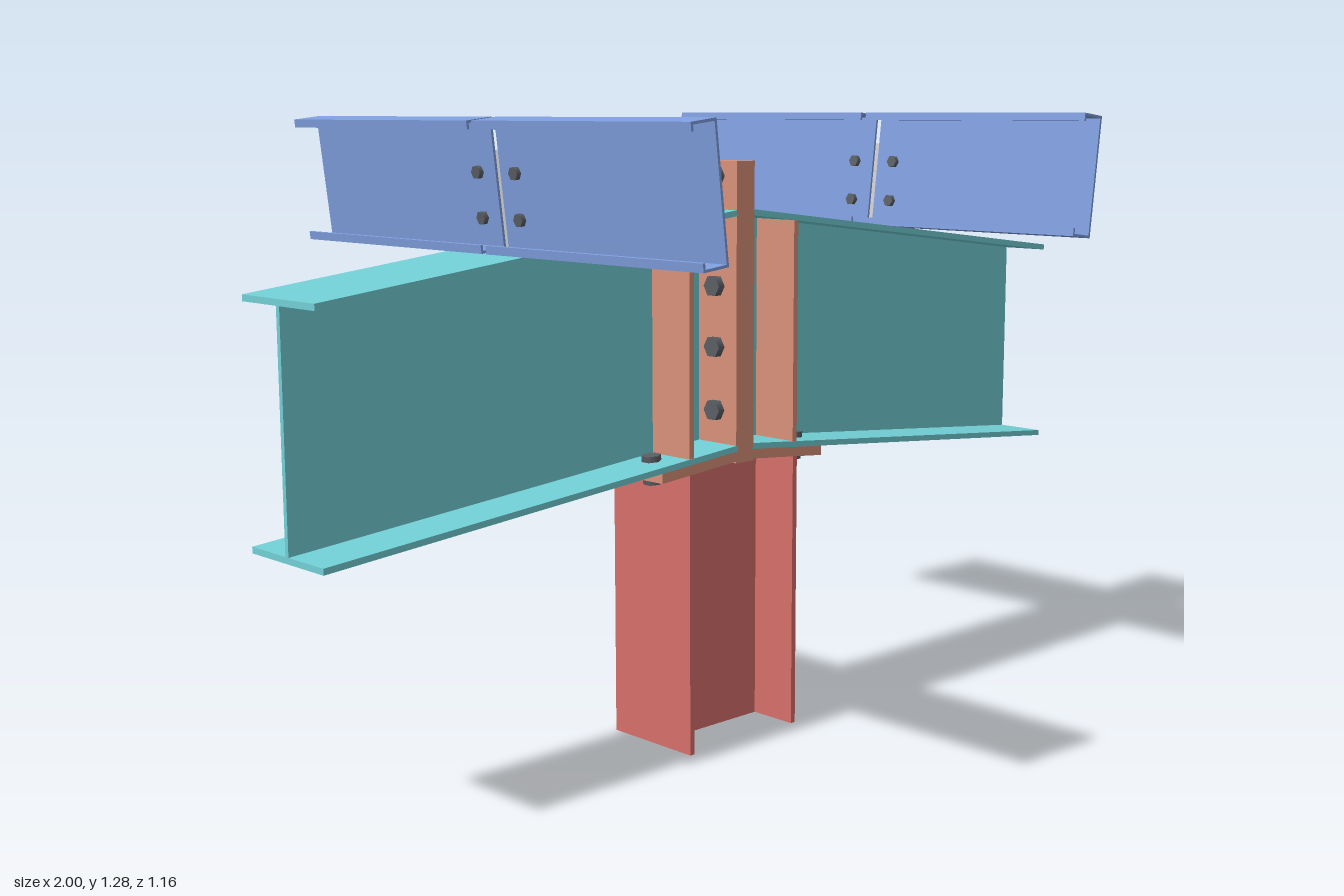
import * as THREE from 'three';

const material = (name, color) => new THREE.MeshStandardMaterial({ name, color });

export function createModel() {
  const model = new THREE.Group();
  model.name = 'steelFrameJoint';

  const rafterTeal = material('rafterTeal', 0x72cfd6);
  const columnRed = material('columnRed', 0xd6706a);
  const plateOrange = material('plateOrange', 0xd8917a);
  const purlinBlue = material('purlinBlue', 0x7f9edf);
  const clipGrey = material('clipGrey', 0xcfcfd1);
  const boltGrey = material('boltGrey', 0x5a5e64);

  const HALF = 0.113; // half width of flanges and plates
  const SLOPE = 0.12;
  const top = x => 1.097 - SLOPE * Math.abs(x);
  const bottom = x => 0.611 - 0.09 * Math.abs(x);

  // Outline in the xy plane, extruded from z0 to z1
  const plate = (parent, name, mat, points, z0, z1) => {
    const shape = new THREE.Shape(points.map(p => new THREE.Vector2(...p)));
    const geo = new THREE.ExtrudeGeometry(shape, { depth: z1 - z0, bevelEnabled: false });
    geo.translate(0, 0, z0);
    const mesh = new THREE.Mesh(geo, mat);
    mesh.name = name;
    parent.add(mesh);
    return mesh;
  };
  const rect = (x0, x1, y0, y1) => [[x0, y0], [x1, y0], [x1, y1], [x0, y1]];

  // Hexagonal head and nut on both faces of a joint, with the shank between
  const bolt = (parent, x, y, z, radius, grip, head, tilt) => {
    const group = new THREE.Group();
    group.name = 'bolt';
    const add = (name, r, length, offset, sides) => {
      const mesh = new THREE.Mesh(new THREE.CylinderGeometry(r, r, length, sides), boltGrey);
      mesh.name = name;
      mesh.position.y = offset;
      group.add(mesh);
    };
    add('head', radius, head, (grip + head) / 2, 6);
    add('nut', radius, head, -(grip + head) / 2, 6);
    add('shank', radius * 0.5, grip, 0, 10);
    group.position.set(x, y, z);
    group.rotation.z = tilt;
    parent.add(group);
  };

  // Column: two flanges and a web
  const column = new THREE.Group();
  column.name = 'column';
  model.add(column);
  for (const s of [-1, 1]) {
    plate(column, 'columnFlange', columnRed, rect(s * 0.148 - 0.006, s * 0.148 + 0.006, 0, 0.578), -HALF, HALF);
  }
  plate(column, 'columnWeb', columnRed, [[-0.142, 0], [0.142, 0], [0.142, 0.578], [0, 0.59], [-0.142, 0.578]], -0.005, 0.005);

  // Bent cap plate between column and rafters
  const capEnd = 0.228;
  plate(model, 'capPlate', plateOrange, [
    [-capEnd, bottom(capEnd) - 0.02], [0, bottom(0) - 0.02], [capEnd, bottom(capEnd) - 0.02],
    [capEnd, bottom(capEnd)], [0, bottom(0)], [-capEnd, bottom(capEnd)],
  ], -HALF, HALF);

  // Rafters, stiffeners and end plates, mirrored about the ridge
  for (const s of [-1, 1]) {
    const rafter = new THREE.Group();
    rafter.name = s > 0 ? 'leftRafter' : 'rightRafter';
    model.add(rafter);
    const a = s * 0.02, b = s, t = 0.012;
    const span = (name, mat, x0, x1, low, high, halfWidth) => plate(rafter, name, mat,
      [[x0, low(x0)], [x1, low(x1)], [x1, high(x1)], [x0, high(x0)]], -halfWidth, halfWidth);
    const underTop = x => top(x) - t;
    const overBottom = x => bottom(x) + t;
    span('topFlange', rafterTeal, a, b, underTop, top, HALF);
    span('bottomFlange', rafterTeal, a, b, bottom, overBottom, HALF);
    span('rafterWeb', rafterTeal, a, b, overBottom, underTop, 0.005);
    span('stiffener', plateOrange, s * 0.142, s * 0.154, overBottom, underTop, HALF - 0.001);
    plate(model, 'endPlate', plateOrange, rect(Math.min(0, s * 0.025), Math.max(0, s * 0.025), 0.585, 1.19), -HALF, HALF);

    // Cap plate bolts
    for (const z of [-0.055, 0.055]) {
      bolt(model, s * 0.202, bottom(0.202) - 0.004, z, 0.02, 0.034, 0.012, -s * Math.atan(0.09));
    }
  }

  // End plate bolts
  for (const y of [1.16, 1.018, 0.941, 0.818, 0.689]) {
    for (const z of [-0.057, 0.057]) bolt(model, 0, y, z, 0.022, 0.05, 0.016, Math.PI / 2);
  }

  // Purlins with cleats, square to the rafter slope
  for (const s of [-1, 1]) {
    const purlin = new THREE.Group();
    purlin.name = s > 0 ? 'leftPurlin' : 'rightPurlin';
    const x = s * 0.508;
    purlin.position.set(x, top(x), 0);
    purlin.rotation.z = -s * Math.atan(SLOPE);
    model.add(purlin);

    // Lipped channel section, in two lengths with a gap at the rafter
    const h = 0.243, w = -0.058, t = 0.005, lip = 0.016;
    const section = [
      [0, 0], [0, h], [w, h], [w, h - lip], [w + t, h - lip], [w + t, h - t], [-t, h - t],
      [-t, t], [w + t, t], [w + t, lip], [w, lip], [w, 0],
    ];
    plate(purlin, 'purlinRear', purlinBlue, section, -0.578, -0.007);
    plate(purlin, 'purlinFront', purlinBlue, section, 0.007, 0.578);

    // Cleat plate with triangular gusset
    plate(purlin, 'cleat', clipGrey, rect(0, 0.008, 0, 0.182), -HALF, HALF);
    plate(purlin, 'gusset', clipGrey, [[0.008, 0], [0.085, 0], [0.008, 0.122]], -0.003, 0.003);
    for (const y of [0.057, 0.142]) {
      for (const z of [-0.055, 0.055]) bolt(purlin, 0.0015, y, z, 0.013, 0.013, 0.01, Math.PI / 2);
    }
  }
  return model;
}
